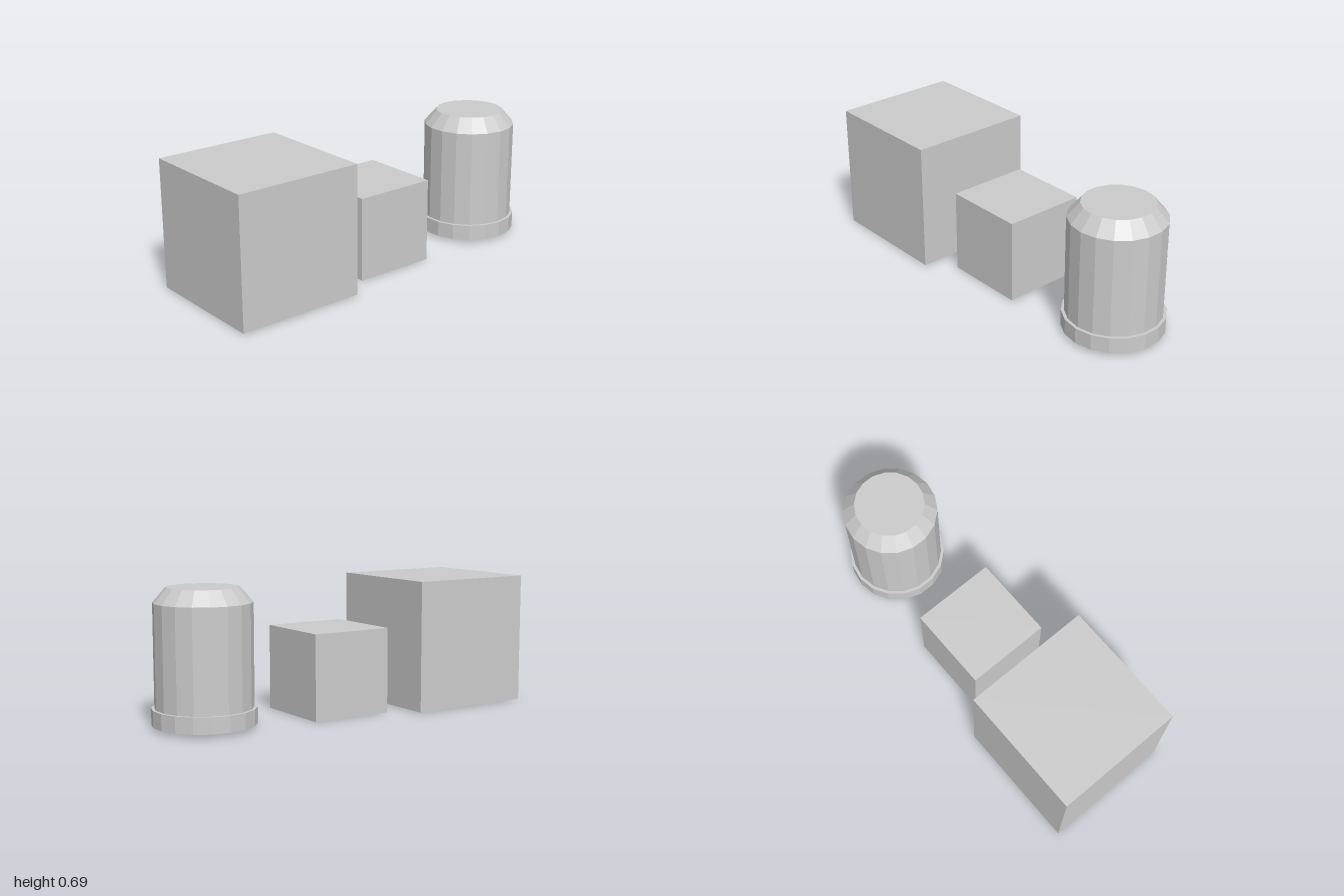
import * as THREE from 'three';

export function createModel() {
  const model = new THREE.Group();
  const material = new THREE.MeshStandardMaterial({ color: 0xcccccc, flatShading: true });

  const add = (parent, name, geometry, x, y, z = 0) => {
    const mesh = new THREE.Mesh(geometry, material);
    mesh.name = name;
    mesh.position.set(x, y, z);
    parent.add(mesh);
  };

  // A cube given by its edge length, centre x and underside height
  const cube = (name, size, x, bottom) =>
    add(model, name, new THREE.BoxGeometry(size, size, size), x, bottom + size / 2);

  cube('largeCrate', 0.675, -0.6625, 0.003);
  cube('smallCrate', 0.44, 0.022, 0);

  // Eighteen-sided barrel: rim, body and tapered lid stacked upwards
  const barrel = new THREE.Group();
  barrel.name = 'barrel';
  barrel.position.set(0.744, 0, 0.001);
  model.add(barrel);

  const section = (name, rBottom, rTop, y0, y1) =>
    add(barrel, name, new THREE.CylinderGeometry(rTop, rBottom, y1 - y0, 18), 0, (y0 + y1) / 2);

  section('barrelBaseRim', 0.259, 0.259, 0.016, 0.098);
  section('barrelBody', 0.243, 0.243, 0.098, 0.611);
  section('barrelTaperedTop', 0.243, 0.18, 0.611, 0.685);

  return model;
}
